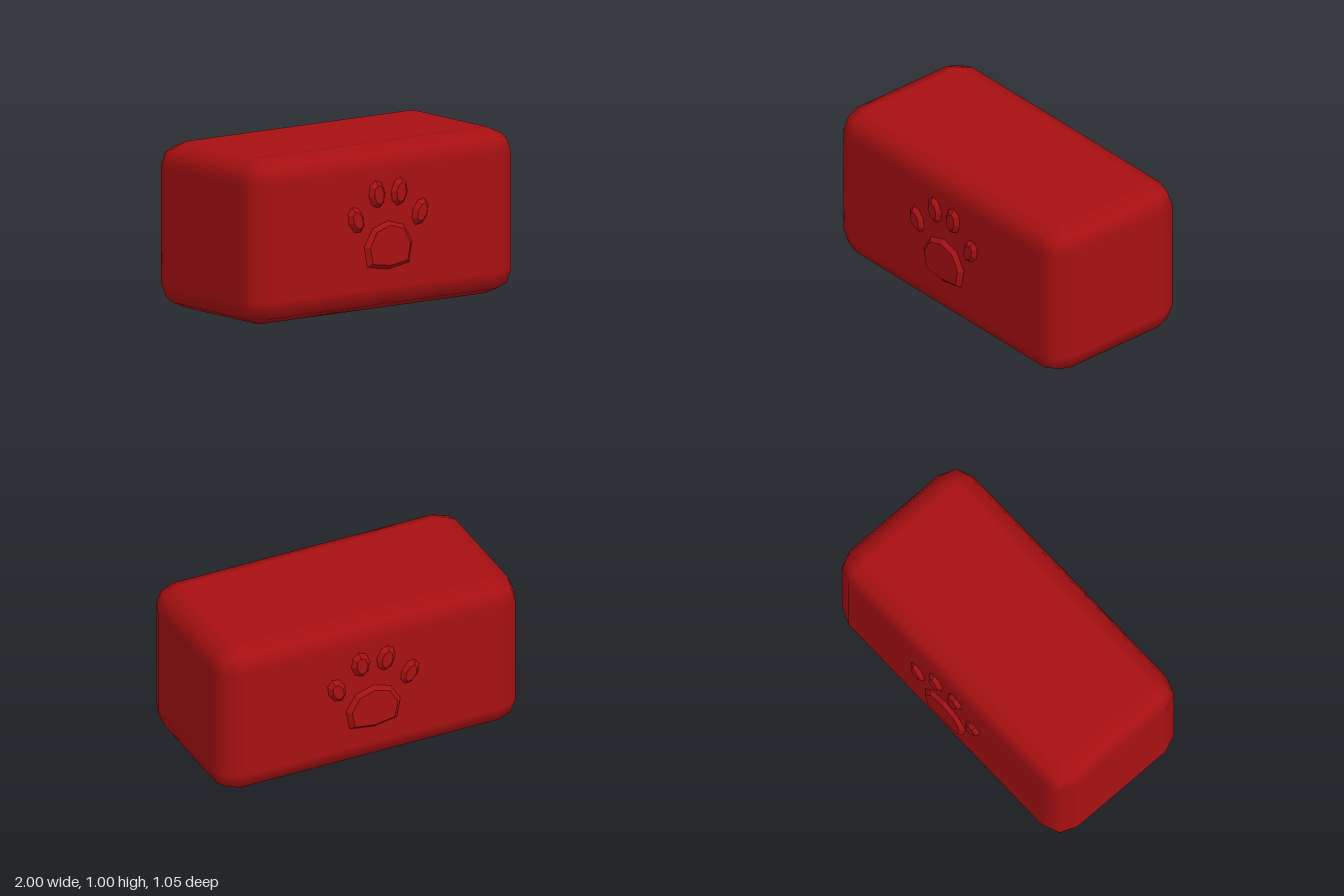
import * as THREE from 'three';
import { RoundedBoxGeometry } from 'three/addons/geometries/RoundedBoxGeometry.js';

// Bevelled plate: outer outline at zBase, inner outline at zTop (both anticlockwise)
function raisedPlate(outer, inner, zBase, zTop) {
  const pos = [];
  const n = outer.length;
  const cx = inner.reduce((s, p) => s + p[0], 0) / n;
  const cy = inner.reduce((s, p) => s + p[1], 0) / n;
  for (let i = 0; i < n; i++) {
    const j = (i + 1) % n;
    const a = [...outer[i], zBase], b = [...outer[j], zBase];
    const c = [...inner[j], zTop], d = [...inner[i], zTop];
    pos.push(...a, ...b, ...c, ...a, ...c, ...d, cx, cy, zTop, ...d, ...c);
  }
  const g = new THREE.BufferGeometry();
  g.setAttribute('position', new THREE.Float32BufferAttribute(pos, 3));
  g.computeVertexNormals(); // unshared corners give flat facets
  return g;
}

// Tilted eight-sided oval outline
function oval(cx, cy, rx, ry, tilt) {
  return Array.from({ length: 8 }, (_, i) => {
    const t = (i / 8) * Math.PI * 2;
    const x = rx * Math.cos(t), y = ry * Math.sin(t);
    return [
      cx + x * Math.cos(tilt) - y * Math.sin(tilt),
      cy + x * Math.sin(tilt) + y * Math.cos(tilt),
    ];
  });
}

// Complete a right-half outline (bottom centre to top centre) by mirroring
function mirrored(half) {
  return [...half, ...half.slice(1, -1).reverse().map(([x, y]) => [-x, y])];
}

function createPaw(material) {
  const paw = new THREE.Group();
  const z0 = 0.499, z1 = 0.525;
  const add = (name, outer, inner) => {
    const mesh = new THREE.Mesh(raisedPlate(outer, inner, z0, z1), material);
    mesh.name = name;
    paw.add(mesh);
  };

  // Main pad
  add('pawPad',
    mirrored([[0, 0.258], [0.157, 0.284], [0.18, 0.41], [0.115, 0.515], [0, 0.55]]),
    mirrored([[0, 0.284], [0.13, 0.303], [0.15, 0.405], [0.1, 0.495], [0, 0.525]]));

  // Two toes on each side
  for (const side of [1, -1]) {
    const name = side > 0 ? 'left' : 'right';
    add(name + 'InnerToe',
      oval(0.083 * side, 0.716, 0.062, 0.087, -0.15 * side),
      oval(0.083 * side, 0.716, 0.036, 0.058, -0.15 * side));
    add(name + 'OuterToe',
      oval(0.24 * side, 0.578, 0.058, 0.085, -0.4 * side),
      oval(0.24 * side, 0.578, 0.034, 0.057, -0.4 * side));
  }
  return paw;
}

export function createModel() {
  const model = new THREE.Group();
  model.name = 'pawBlock';
  const red = new THREE.MeshStandardMaterial({ color: 0xa81012 });
  red.name = 'deepRed';

  // Block with rounded edges
  const block = new THREE.Mesh(new RoundedBoxGeometry(2, 1, 1, 1, 0.15), red);
  block.name = 'block';
  block.position.y = 0.5;
  model.add(block);

  // Raised paw on the front and on the back
  const front = createPaw(red);
  front.name = 'frontPaw';
  const back = createPaw(red);
  back.name = 'backPaw';
  back.rotation.y = Math.PI;
  model.add(front, back);
  return model;
}
